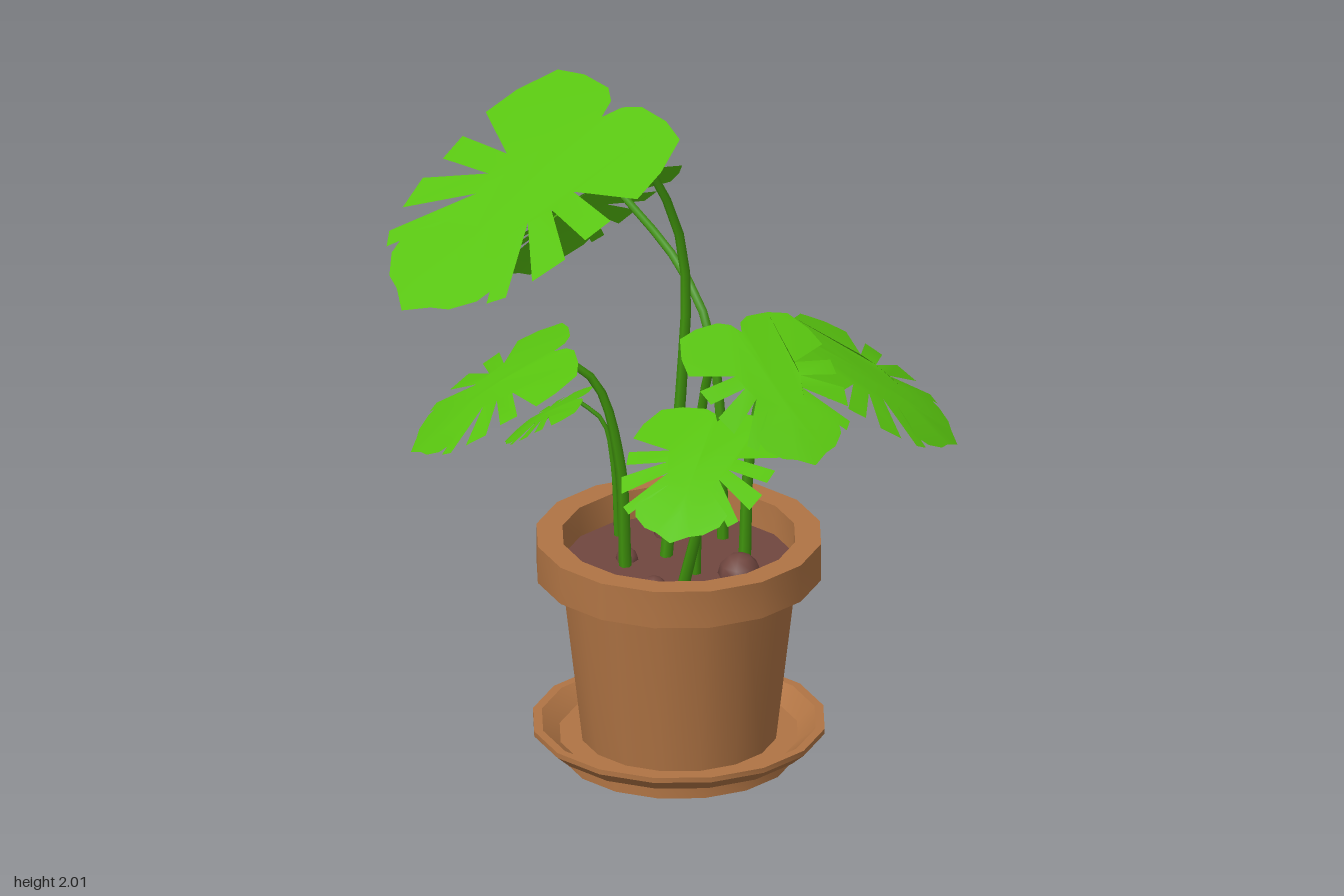
import * as THREE from 'three';
import { mergeGeometries, mergeVertices, toCreasedNormals } from 'three/addons/utils/BufferGeometryUtils.js';

const mat = (name, color, side = THREE.FrontSide) => {
  const m = new THREE.MeshStandardMaterial({ color, side });
  m.name = name;
  return m;
};
const v3 = (p) => new THREE.Vector3(...p);

// Right half of a split leaf: x across, y from the back lobe (0) to the tip (1)
const NOTCH = 0.1;
const HALF = [
  [0, NOTCH], [0.03, 0.035], [0.09, 0], [0.22, 0], [0.33, 0.03], [0.39, 0.16], [0.41, 0.28],
  [0.18, 0.37],
  [0.40, 0.39], [0.385, 0.49],
  [0.17, 0.46],
  [0.385, 0.58], [0.35, 0.70],
  [0.14, 0.54],
  [0.315, 0.79], [0.27, 0.84],
  [0.11, 0.62],
  [0.25, 0.77], [0.23, 0.85], [0.16, 0.92], [0.09, 0.945], [0, 1],
  [0, 0.8], [0, 0.65], [0, 0.52], [0, 0.4], [0, 0.25],
];

function leafGeometry(length, bow, droop) {
  const halves = [1, -1].map((s) =>
    new THREE.ShapeGeometry(new THREE.Shape(HALF.map(([u, v]) => new THREE.Vector2(u * s, v)))));
  let geo = mergeGeometries(halves);
  geo.deleteAttribute('uv');
  geo.deleteAttribute('normal');
  geo = mergeVertices(geo, 1e-4);
  // Arch the blade along the midrib and let the sides hang
  const p = geo.attributes.position;
  for (let i = 0; i < p.count; i++) {
    const u = p.getX(i), v = p.getY(i);
    const h = bow * 4 * (v - NOTCH) * (1 - v) - droop * u * u;
    p.setXYZ(i, u * length, (v - NOTCH) * length, h * length);
  }
  geo.computeVertexNormals();
  return geo;
}

// Tube that narrows towards its end
function stemGeometry(points, r0, r1) {
  const curve = new THREE.CatmullRomCurve3(points.map(v3));
  const n = 12, sides = 6;
  const geo = new THREE.TubeGeometry(curve, n, r0, sides);
  const p = geo.attributes.position, q = new THREE.Vector3();
  for (let i = 0; i < p.count; i++) {
    const t = Math.floor(i / (sides + 1)) / n;
    const c = curve.getPointAt(t);
    q.fromBufferAttribute(p, i).sub(c).multiplyScalar(1 + (r1 / r0 - 1) * t).add(c);
    p.setXYZ(i, q.x, q.y, q.z);
  }
  return geo;
}

// Each plant shoot: stem path (ends where the leaf is attached) and leaf tip
const SHOOTS = [
  { name: 'tall', stem: [[0.06, 0.56, -0.11], [0.065, 1.1, -0.16], [0.07, 1.4, -0.17], [0.07, 1.57, -0.14], [0.07, 1.78, -0.04], [0.07, 1.96, 0.11]], tip: [0.075, 1.55, 0.79], bow: 0.02, droop: 0.06 },
  { name: 'backLeft', stem: [[0.05, 0.56, -0.31], [0.03, 1.0, -0.31], [-0.03, 1.2, -0.31], [-0.17, 1.33, -0.31], [-0.47, 1.45, -0.31]], tip: [-0.845, 1.04, -0.29] },
  { name: 'backRight', stem: [[0.21, 0.56, -0.27], [0.21, 0.9, -0.29], [0.22, 1.1, -0.34], [0.26, 1.2, -0.45]], tip: [0.53, 0.91, -0.76] },
  { name: 'rightUpper', stem: [[0.2, 0.56, -0.11], [0.22, 1.0, -0.11], [0.27, 1.22, -0.11], [0.33, 1.33, -0.11], [0.42, 1.38, -0.11]], tip: [0.82, 1.13, -0.08] },
  { name: 'rightFront', stem: [[0.24, 0.56, -0.04], [0.33, 0.85, -0.05], [0.41, 1.07, -0.04], [0.48, 1.16, 0.01]], tip: [0.75, 0.98, 0.36] },
  { name: 'frontLeft', stem: [[0.05, 0.56, 0.02], [0.05, 0.9, 0.04], [0.02, 1.14, 0.1], [-0.03, 1.235, 0.2]], tip: [-0.22, 0.95, 0.55] },
  { name: 'small', stem: [[-0.13, 0.56, -0.08], [-0.14, 0.8, -0.07], [-0.16, 0.92, -0.05], [-0.21, 0.975, 0.0]], tip: [-0.37, 0.82, 0.13], r: 0.01 },
];

export function createModel() {
  const model = new THREE.Group();
  model.name = 'pottedPlant';
  const clay = mat('terracotta', 0xb07444);
  const soilMat = mat('soil', 0x70463f);
  const leafMat = mat('leafGreen', 0x58c40f, THREE.DoubleSide);
  const stemMat = mat('stemGreen', 0x3f920c);

  const add = (parent, name, geo, material, pos = [0, 0, 0]) => {
    const mesh = new THREE.Mesh(geo, material);
    mesh.name = name;
    mesh.position.set(...pos);
    parent.add(mesh);
    return mesh;
  };
  const lathe = (pts) =>
    toCreasedNormals(new THREE.LatheGeometry(pts.map((p) => new THREE.Vector2(...p)), 16), 0.6);

  // Pot, saucer and soil share one axis
  const base = new THREE.Group();
  base.name = 'potGroup';
  base.position.set(0.115, 0, -0.115);
  model.add(base);
  add(base, 'saucer', lathe([[0, 0], [0.325, 0], [0.325, 0.045], [0.37, 0.05], [0.41, 0.085],
    [0.41, 0.1], [0.385, 0.1], [0.335, 0.06], [0, 0.06]]), clay);
  add(base, 'pot', lathe([[0, 0.05], [0.272, 0.05], [0.33, 0.55], [0.4, 0.55], [0.4, 0.66],
    [0.327, 0.66], [0.322, 0.56]]), clay);
  add(base, 'soil', new THREE.CircleGeometry(0.325, 16).rotateX(-Math.PI / 2), soilMat, [0, 0.575, 0]);

  // Pebbles half sunk in the soil
  [[-0.055, -0.2, 0.042], [0.28, -0.205, 0.062], [0.015, -0.01, 0.032], [0.23, 0.05, 0.04]].forEach(([x, z, r]) =>
    add(model, 'pebble', new THREE.SphereGeometry(r, 8, 6), soilMat, [x, 0.575, z]));

  // Shoots: a tapered stem and a split leaf aimed from its attachment to its tip
  for (const { name, stem, tip, bow = 0.05, droop = 0.25, r = 0.018 } of SHOOTS) {
    const shoot = new THREE.Group();
    shoot.name = name + 'Shoot';
    model.add(shoot);
    add(shoot, 'stem', stemGeometry(stem, r, r * 0.6), stemMat);

    const start = v3(stem[stem.length - 1]);
    const dir = v3(tip).sub(start);
    const length = dir.length() / (1 - NOTCH);
    dir.normalize();
    const side = new THREE.Vector3().crossVectors(dir, new THREE.Vector3(0, 1, 0)).normalize();
    const up = new THREE.Vector3().crossVectors(side, dir);
    const leaf = add(shoot, 'leaf', leafGeometry(length, bow, droop), leafMat);
    leaf.quaternion.setFromRotationMatrix(new THREE.Matrix4().makeBasis(side, dir, up));
    leaf.position.copy(start).addScaledVector(up, r * 0.5);
  }
  return model;
}
